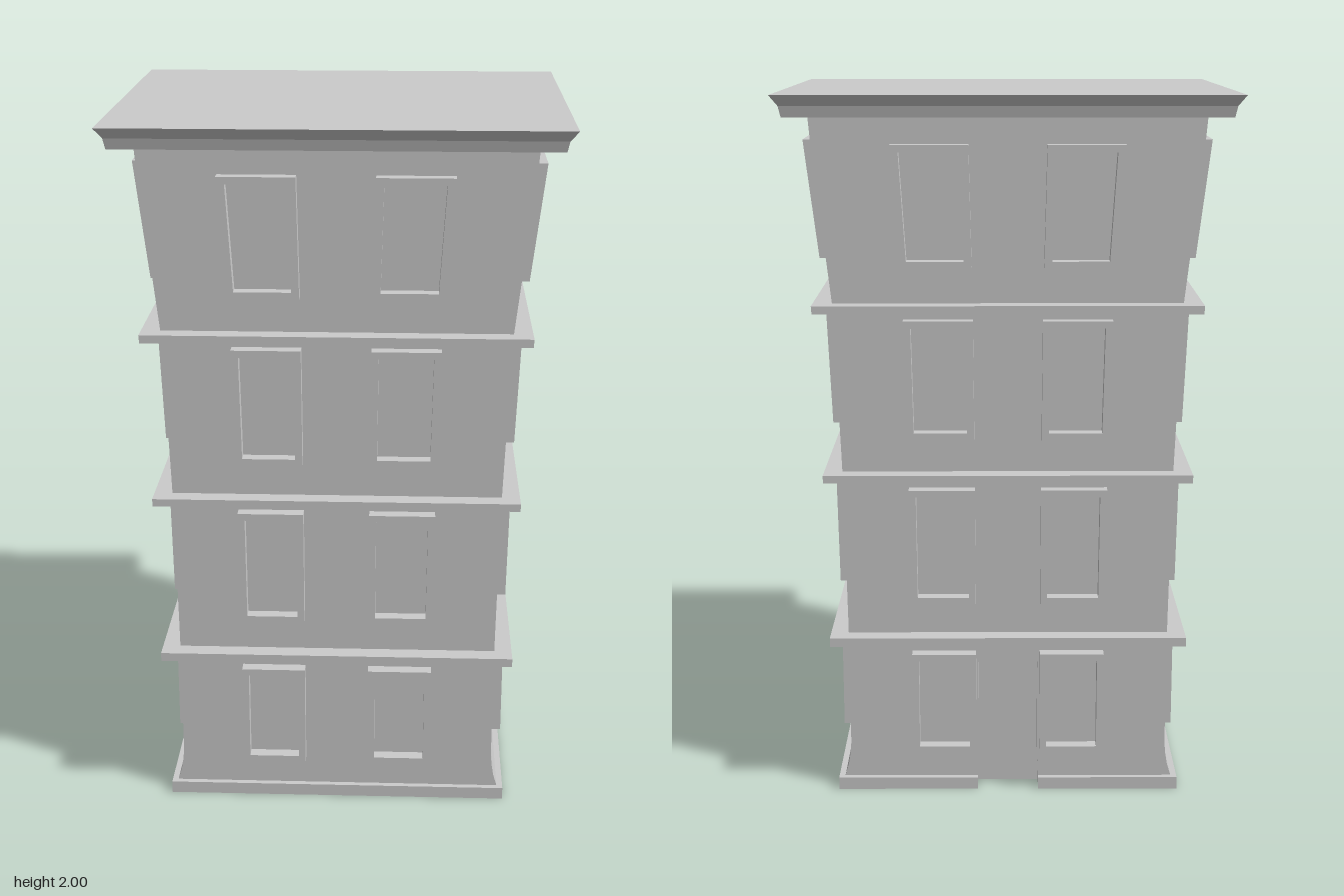
import * as THREE from 'three';

// Width factor by height: the tower flares at its foot and widens towards the top
const KNOTS = [[0, 1], [0.035, 1], [0.07, 0.978], [0.12, 0.96], [0.47, 0.962], [0.94, 0.98],
  [1.42, 1.02], [1.86, 1.125], [1.94, 1.14], [2, 1.134]];

function widthAt(y) {
  for (let i = 1; i < KNOTS.length; i++) {
    const [y0, s0] = KNOTS[i - 1], [y1, s1] = KNOTS[i];
    if (y <= y1) return THREE.MathUtils.mapLinear(y, y0, y1, s0, s1);
  }
  return KNOTS[KNOTS.length - 1][1];
}

// Stretch a geometry in x by the width factor
function warp(geometry, flat = true) {
  const g = flat && geometry.index ? geometry.toNonIndexed() : geometry;
  const p = g.attributes.position;
  for (let i = 0; i < p.count; i++) p.setX(i, p.getX(i) * widthAt(p.getY(i)));
  g.computeVertexNormals();
  return g;
}

function rectangle(PathType, x0, y0, x1, y1) {
  return new PathType([[x0, y0], [x1, y0], [x1, y1], [x0, y1]].map(p => new THREE.Vector2(...p)));
}

// Square slab with the doorway cut into its back edge
function notchedSlab(half, y0, y1, steps) {
  const door = 0.088, inner = 0.425;
  const shape = new THREE.Shape([[-half, -half], [half, -half], [half, half], [door, half],
    [door, inner], [-door, inner], [-door, half], [-half, half]].map(p => new THREE.Vector2(...p)));
  return new THREE.ExtrudeGeometry(shape, { depth: y1 - y0, steps, bevelEnabled: false })
    .rotateX(-Math.PI / 2).translate(0, y0, 0);
}

// Square frustum between two heights
function frustum(bottom, top, y0, y1) {
  return new THREE.CylinderGeometry(top * Math.SQRT2, bottom * Math.SQRT2, y1 - y0, 4)
    .rotateY(Math.PI / 4).translate(0, (y0 + y1) / 2, 0);
}

export function createModel() {
  const model = new THREE.Group();
  model.name = 'building';
  const material = new THREE.MeshStandardMaterial({ color: 0xcccccc });
  const add = (name, geometry, parent = model) => {
    const mesh = new THREE.Mesh(geometry, material);
    mesh.name = name;
    parent.add(mesh);
  };

  // Plinth and walls, with the recessed doorway at the back
  const wall = 0.475, doorTop = 0.385, wallTop = 1.94;
  add('plinth', warp(notchedSlab(0.492, 0, 0.035, 1)));
  add('groundFloorWalls', warp(notchedSlab(wall, 0.035, doorTop, 10)));
  add('upperWalls', warp(new THREE.BoxGeometry(wall * 2, wallTop - doorTop, wall * 2, 1, 24, 1)
    .translate(0, (doorTop + wallTop) / 2, 0), false));

  // Ledges between floors
  for (const [y0, y1] of [[0.45, 0.475], [0.93, 0.952], [1.407, 1.43]]) {
    add('ledge', warp(frustum(0.527, 0.527, y0, y1)));
  }

  // Cornice and flat roof
  add('corniceLower', warp(frustum(0.532, 0.539, 1.94, 1.97)));
  add('corniceUpper', warp(frustum(0.539, 0.56, 1.97, 2)));

  // Two window frames per floor on each side
  const floors = [[0.12, 0.42], [0.57, 0.905], [1.05, 1.385], [1.53, 1.865]];
  const border = 0.02;
  ['front', 'left', 'back', 'right'].forEach((side, turn) => {
    const windows = new THREE.Group();
    windows.name = side + 'Windows';
    model.add(windows);
    for (const [y0, y1] of floors) {
      for (const x of [-0.19, 0.19]) {
        const frame = rectangle(THREE.Shape, x - 0.095, y0, x + 0.095, y1);
        frame.holes.push(rectangle(THREE.Path, x - 0.095 + border, y0 + border,
          x + 0.095 - border, y1 - border));
        const geometry = new THREE.ExtrudeGeometry(frame, { depth: 0.047, bevelEnabled: false })
          .translate(0, 0, 0.465).rotateY(turn * Math.PI / 2);
        add('windowFrame', warp(geometry), windows);
      }
    }
  });

  return model;
}
